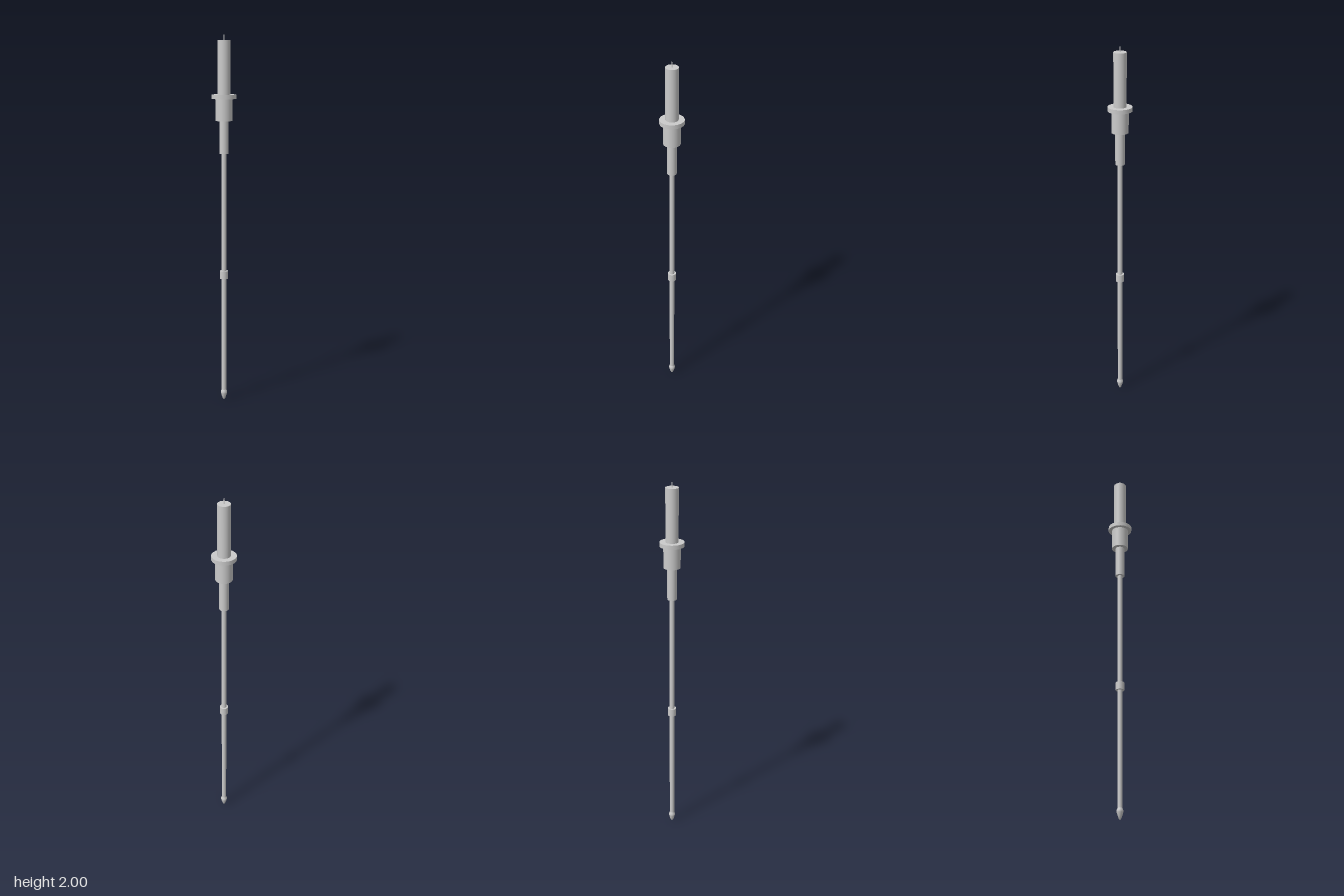
import * as THREE from 'three';

export function createModel() {
  const group = new THREE.Group();
  const material = new THREE.MeshStandardMaterial({ color: 0xcccccc });

  const add = (name, geometry, y = 0) => {
    const mesh = new THREE.Mesh(geometry, material);
    mesh.name = name;
    mesh.position.y = y;
    group.add(mesh);
  };

  // Upright cylinder between two heights
  const cylinder = (name, radius, bottom, top, sides = 32) =>
    add(name, new THREE.CylinderGeometry(radius, radius, top - bottom, sides), (bottom + top) / 2);

  // Head: contact pin, barrel, flange and stepped sleeves
  cylinder('contactPin', 0.0035, 1.965, 2, 12);
  cylinder('barrel', 0.034, 1.685, 1.973);
  cylinder('flange', 0.065, 1.668, 1.69, 18);
  cylinder('collar', 0.045, 1.552, 1.67);
  cylinder('lowerSleeve', 0.025, 1.377, 1.554);

  // Long rod with its ring
  cylinder('rod', 0.013, 0.055, 1.38, 24);
  cylinder('ring', 0.023, 0.694, 0.737, 24);

  // Bullet-shaped tip, widest just below the rod
  const profile = [[0, 0], [0.006, 0.006], [0.012, 0.022], [0.0165, 0.038], [0.018, 0.048], [0.013, 0.06]]
    .map(([r, y]) => new THREE.Vector2(r, y));
  add('tip', new THREE.LatheGeometry(profile, 24));

  return group;
}
